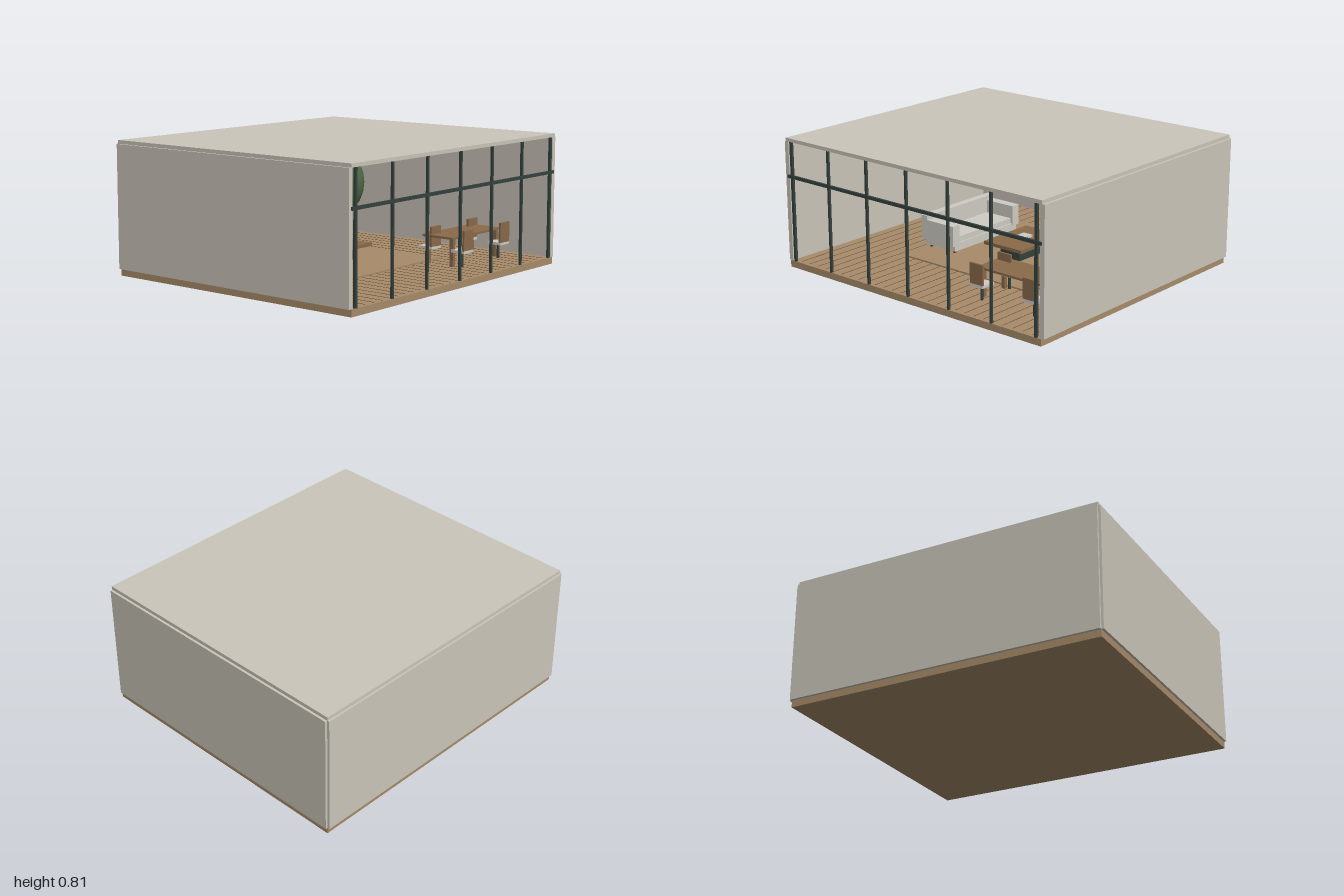
import * as THREE from 'three';

const mat = (name, color) => {
  const m = new THREE.MeshStandardMaterial({ color });
  m.name = name;
  return m;
};

export function createModel() {
  const plaster = mat('plaster', 0xcbc6ba);
  const oak = mat('oak', 0xa88c6a);
  const walnut = mat('walnut', 0x8a6a4a);
  const metal = mat('dark metal', 0x35423d);
  const leaf = mat('leaf', 0x4f6b4a);
  const fabric = mat('light fabric', 0xcfcdc4);
  const groove = mat('groove', 0x6b563f);

  const room = new THREE.Group();
  room.name = 'room';

  const group = (name, x = 0, y = 0, z = 0) => {
    const g = new THREE.Group();
    g.name = name;
    g.position.set(x, y, z);
    room.add(g);
    return g;
  };
  // Box given by its extents on each axis
  const box = (parent, name, material, [x0, x1], [y0, y1], [z0, z1]) => {
    const m = new THREE.Mesh(new THREE.BoxGeometry(x1 - x0, y1 - y0, z1 - z0), material);
    m.position.set((x0 + x1) / 2, (y0 + y1) / 2, (z0 + z1) / 2);
    m.name = name;
    parent.add(m);
    return m;
  };

  // Shell
  const shell = group('shell');
  box(shell, 'floor', oak, [-0.985, 0.985], [0, 0.042], [-0.88, 0.89]);
  box(shell, 'roof', plaster, [-0.985, 0.985], [0.79, 0.812], [-0.885, 0.89]);
  box(shell, 'backWall', plaster, [-0.985, 0.985], [0.042, 0.79], [-0.897, -0.868]);
  for (const s of [-1, 1])
    box(shell, 'sideWall', plaster, s < 0 ? [-1, -0.97] : [0.97, 1], [0.042, 0.79], [-0.882, 0.885]);

  // Floorboard grooves
  for (let i = -13; i <= 13; i++) {
    const x = i * 0.07;
    box(shell, 'boardGroove', groove, [x - 0.002, x + 0.002], [0.041, 0.0435], [-0.868, 0.87]);
  }

  // Window grid across the open front
  const grid = group('windowGrid');
  for (let i = -3; i <= 3; i++) {
    const x = i * 0.315, w = Math.abs(i) === 3 ? 0.009 : 0.007;
    box(grid, 'mullion', metal, [x - w, x + w], [0.042, 0.79], [0.876, 0.891]);
  }
  box(grid, 'transom', metal, [-0.982, 0.982], [0.565, 0.584], [0.878, 0.893]);

  // Rug
  box(room, 'rug', oak, [-0.49, 0.49], [0.042, 0.052], [-0.59, 0.39]);

  // Sofa facing +x
  const sofa = group('sofa', 0, 0, -0.1);
  box(sofa, 'sofaBase', fabric, [-0.515, -0.27], [0.07, 0.12], [-0.29, 0.29]);
  box(sofa, 'sofaBack', fabric, [-0.53, -0.483], [0.11, 0.262], [-0.31, 0.31]);
  for (const s of [-1, 1]) {
    box(sofa, 'sofaArm', fabric, [-0.505, -0.268], [0.105, 0.235], s < 0 ? [-0.31, -0.25] : [0.25, 0.31]);
    box(sofa, 'seatCushion', fabric, [-0.48, -0.28], [0.12, 0.155], s < 0 ? [-0.245, -0.005] : [0.005, 0.245]);
  }
  for (const x of [-0.49, -0.3])
    for (const z of [-0.26, 0.26])
      box(sofa, 'sofaFoot', metal, [x - 0.008, x + 0.008], [0.042, 0.07], [z - 0.008, z + 0.008]);

  // Coffee table with a book
  const coffee = group('coffeeTable', 0.035, 0, -0.1);
  box(coffee, 'coffeeTop', walnut, [-0.147, 0.147], [0.132, 0.153], [-0.2, 0.2]);
  box(coffee, 'coffeeBase', metal, [-0.077, 0.077], [0.052, 0.132], [-0.13, 0.13]);
  box(coffee, 'book', fabric, [-0.04, 0.03], [0.153, 0.167], [-0.05, 0.05]);

  // Media cabinet and screen on the back wall
  box(room, 'mediaCabinet', walnut, [0, 0.59], [0.042, 0.198], [-0.865, -0.73]);
  box(room, 'screen', metal, [0.095, 0.487], [0.245, 0.434], [-0.868, -0.848]);

  // Framed pictures
  for (const x of [-0.593, -0.397, -0.201]) {
    const f = group('pictureFrame', x, 0.438, 0);
    box(f, 'frame', walnut, [-0.069, 0.069], [-0.108, 0.108], [-0.868, -0.85]);
    box(f, 'canvas', oak, [-0.053, 0.053], [-0.092, 0.092], [-0.852, -0.846]);
  }

  // Dining table
  const table = group('diningTable');
  box(table, 'tableTop', walnut, [0.295, 0.8], [0.21, 0.223], [0.4, 0.62]);
  for (const x of [0.325, 0.782])
    for (const z of [0.42, 0.6])
      box(table, 'tableLeg', walnut, [x - 0.012, x + 0.012], [0.042, 0.21], [z - 0.012, z + 0.012]);

  // Chairs in two rows
  for (const x of [0.355, 0.742])
    for (const z of [0.41, 0.65]) {
      const c = group('chair', x, 0, z);
      box(c, 'chairSeat', fabric, [-0.048, 0.048], [0.131, 0.148], [-0.048, 0.048]);
      box(c, 'chairBack', walnut, [-0.048, 0.048], [0.146, 0.27], [0.034, 0.048]);
      const post = new THREE.Mesh(new THREE.CylinderGeometry(0.009, 0.009, 0.09, 10), metal);
      post.position.y = 0.087;
      post.name = 'chairPost';
      c.add(post);
    }

  // Indoor tree in the back corner
  const tree = group('tree', 0.787, 0, -0.65);
  const trunk = new THREE.Mesh(new THREE.CylinderGeometry(0.014, 0.018, 0.24, 10), walnut);
  trunk.position.y = 0.16;
  trunk.name = 'trunk';
  const crown = new THREE.Mesh(new THREE.SphereGeometry(0.157, 14, 10), leaf);
  crown.scale.y = 1.36;
  crown.position.y = 0.4;
  crown.name = 'crown';
  tree.add(trunk, crown);

  return room;
}
